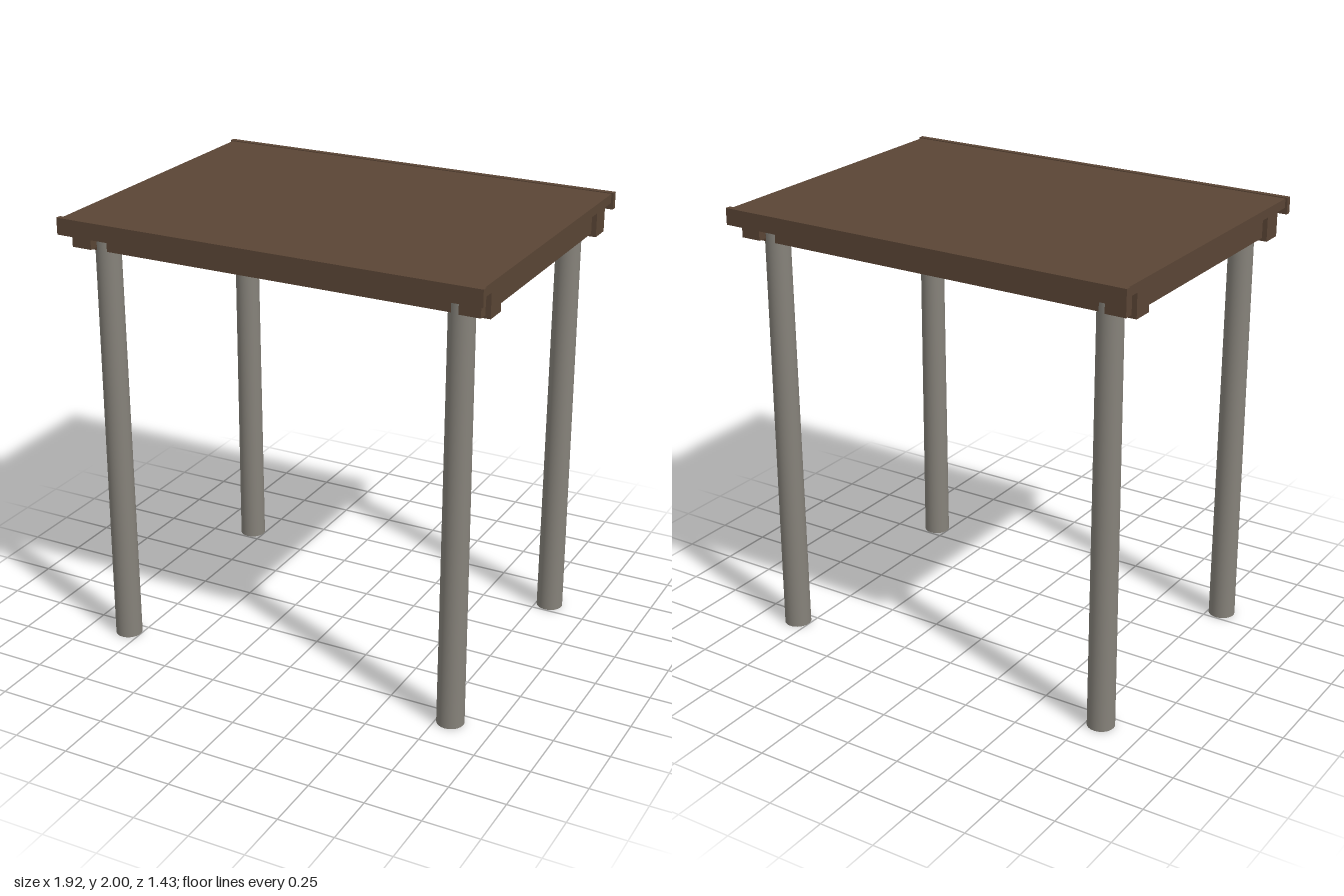
import * as THREE from 'three';

export function createModel() {
  const model = new THREE.Group();
  model.name = 'shelter';
  const wood = new THREE.MeshStandardMaterial({ name: 'dark brown wood', color: 0x5a4535 });
  const post = new THREE.MeshStandardMaterial({ name: 'weathered grey', color: 0x86827a });

  // Box given by its centre in x and z and its bottom and top heights
  function board(name, width, depth, bottom, top, x, z) {
    const mesh = new THREE.Mesh(new THREE.BoxGeometry(width, top - bottom, depth), wood);
    mesh.name = name;
    mesh.position.set(x, (bottom + top) / 2, z);
    model.add(mesh);
  }

  // Flat roof deck between the fascia boards
  board('roofDeck', 1.9, 1.38, 1.955, 1.996, 0, 0);

  for (const s of [1, -1]) {
    const side = s > 0 ? 'front' : 'back';
    // Fascia rising just above the deck
    board(side + 'Fascia', 1.92, 0.026, 1.927, 2, 0, s * 0.701);
    // Long beam across the posts
    board(side + 'Beam', 1.9, 0.096, 1.849, 1.956, 0, s * 0.566);
    // Cross beam resting outside the posts
    board((s > 0 ? 'left' : 'right') + 'CrossBeam', 0.092, 1.312, 1.862, 1.956, s * 0.882, 0);

    // Slightly tapered round posts, a little thicker than the beams
    for (const t of [1, -1]) {
      const leg = new THREE.Mesh(new THREE.CylinderGeometry(0.054, 0.06, 1.956, 32), post);
      leg.name = side + (t > 0 ? 'Left' : 'Right') + 'Post';
      leg.position.set(t * 0.811, 0.978, s * 0.566);
      model.add(leg);
    }
  }
  return model;
}
